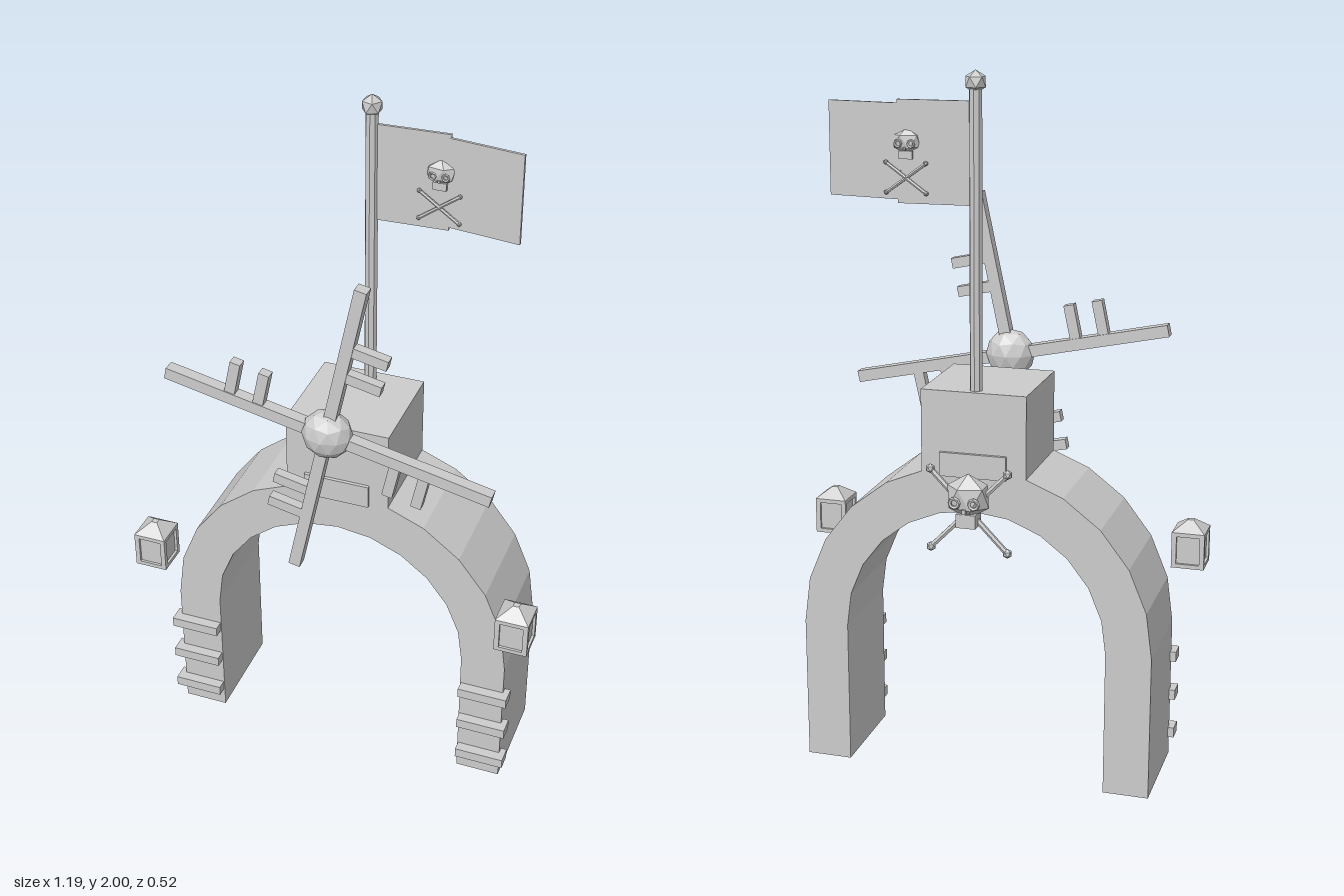
import * as THREE from 'three';

const stone = new THREE.MeshStandardMaterial({ color: 0xcccccc, flatShading: true });
stone.name = 'pale grey';

function add(parent, name, geometry, x = 0, y = 0, z = 0) {
  const mesh = new THREE.Mesh(geometry, stone);
  mesh.name = name;
  mesh.position.set(x, y, z);
  parent.add(mesh);
  return mesh;
}

function addGroup(parent, name, x, y, z) {
  const g = new THREE.Group();
  g.name = name;
  g.position.set(x, y, z);
  parent.add(g);
  return g;
}

const box = (w, h, d) => new THREE.BoxGeometry(w, h, d);

// Low-poly ball with a corner pointing straight up
const ball = (r, detail = 0) => new THREE.IcosahedronGeometry(r, detail).rotateZ(-Math.atan(2 / (1 + Math.sqrt(5))));

// Horseshoe arch, extruded front to back
function archGeometry() {
  const outer = 0.51, inner = 0.38, spring = 0.42, steps = 12;
  const s = new THREE.Shape();
  s.moveTo(outer, 0);
  for (let i = 0; i <= steps; i++) {
    const a = (i / steps) * Math.PI;
    s.lineTo(outer * Math.cos(a), spring + outer * Math.sin(a));
  }
  s.lineTo(-outer, 0);
  s.lineTo(-inner, 0);
  for (let i = steps; i >= 0; i--) {
    const a = (i / steps) * Math.PI;
    s.lineTo(inner * Math.cos(a), spring + inner * Math.sin(a));
  }
  s.lineTo(inner, 0);
  return new THREE.ExtrudeGeometry(s, { depth: 0.3, bevelEnabled: false }).translate(0, 0, -0.165);
}

// Two crossed bones with knobbed ends, in the xy plane
function crossedBones(parent, halfW, halfH, r, knob, y, z) {
  const g = addGroup(parent, 'crossedBones', 0, y, z);
  const length = 2 * Math.hypot(halfW, halfH);
  for (const s of [-1, 1]) {
    add(g, 'bone', new THREE.CylinderGeometry(r, r, length, 6)).rotation.z = -s * Math.atan2(halfW, halfH);
    for (const e of [-1, 1]) add(g, 'boneKnob', ball(knob), s * e * halfW, e * halfH, 0);
  }
}

// Skull with eye rings on the given sides (+1 front, -1 back)
function skull(parent, w, h, d, sides) {
  const g = addGroup(parent, 'skull', 0, 0, 0);
  add(g, 'cranium', ball(1)).scale.set(w, h, d);
  add(g, 'jaw', box(w * 0.85, h * 0.6, d * 1.1), 0, -h * 1.0, 0);
  for (const side of sides) {
    for (const s of [-1, 1]) {
      add(g, 'eyeRing', new THREE.TorusGeometry(w * 0.2, w * 0.08, 5, 8), s * w * 0.42, -h * 0.15, side * d * 0.8);
    }
    add(g, 'nose', box(w * 0.15, h * 0.2, d * 0.3), 0, -h * 0.5, side * d * 0.75);
  }
  return g;
}

// Flag panel running between two points seen from above
function flagPanel(parent, x0, z0, x1, z1, y, h) {
  const panel = add(parent, 'flagPanel', box(Math.hypot(x1 - x0, z1 - z0), h, 0.008), (x0 + x1) / 2, y, (z0 + z1) / 2);
  panel.rotation.y = -Math.atan2(z1 - z0, x1 - x0);
}

export function createModel() {
  const model = new THREE.Group();
  model.name = 'windmillArch';

  // Arch, block on its crown and the name plate through it
  add(model, 'arch', archGeometry());
  add(model, 'crownBlock', box(0.3, 0.3, 0.3), 0, 0.99, -0.015);
  add(model, 'plate', box(0.19, 0.068, 0.32), 0, 0.933, -0.015);

  for (const s of [-1, 1]) {
    // Bands on the legs
    for (const y of [0.075, 0.195, 0.315]) add(model, 'legBand', box(0.145, 0.03, 0.05), s * 0.455, y, 0.14);

    // Lantern: recessed core inside a frame, with a blunt pyramid roof
    const lantern = addGroup(model, 'lantern', s * 0.547, 0.58, 0.19);
    add(lantern, 'lanternCore', box(0.08, 0.1, 0.08), 0, 0.055, 0);
    add(lantern, 'lanternBase', box(0.095, 0.012, 0.095), 0, 0.006, 0);
    add(lantern, 'lanternRim', box(0.095, 0.012, 0.095), 0, 0.1, 0);
    for (const px of [-1, 1]) for (const pz of [-1, 1]) {
      add(lantern, 'lanternPost', box(0.014, 0.1, 0.014), px * 0.0405, 0.053, pz * 0.0405);
    }
    const roof = new THREE.CylinderGeometry(0.012, 0.0672, 0.03, 4).rotateY(Math.PI / 4);
    add(lantern, 'lanternRoof', roof, 0, 0.121, 0);
  }

  // Windmill: hub and four sails, each with two rungs
  const windmill = addGroup(model, 'windmill', 0, 1.165, 0.205);
  add(windmill, 'hub', ball(0.072, 1)).scale.z = 0.78;
  for (let i = 0; i < 4; i++) {
    const sail = addGroup(windmill, 'sail', 0, 0, 0);
    sail.rotation.z = -0.21 + (i * Math.PI) / 2;
    add(sail, 'sailBar', box(0.034, 0.475, 0.035), 0, 0.2375, 0);
    for (const y of [0.203, 0.287]) add(sail, 'sailRung', box(0.115, 0.03, 0.029), 0.0575, y, 0);
  }

  // Flagpole with knob
  add(model, 'flagpole', new THREE.CylinderGeometry(0.018, 0.018, 0.85, 8), 0, 1.545, -0.135);
  add(model, 'poleKnob', ball(0.031), 0, 1.969, -0.135);

  // Flag in two panels with an emblem on both faces
  flagPanel(model, 0.01, -0.135, 0.215, -0.142, 1.782, 0.275);
  flagPanel(model, 0.205, -0.142, 0.418, -0.112, 1.782, 0.255);
  const emblem = addGroup(model, 'flagEmblem', 0.19, 1.81, -0.139);
  skull(emblem, 0.044, 0.036, 0.025, [-1, 1]);
  for (const s of [-1, 1]) crossedBones(emblem, 0.056, 0.04, 0.005, 0.007, -0.097, s * 0.01);

  // Skull and crossed bones on the back of the crown
  const trophy = addGroup(model, 'backTrophy', 0, 0.86, -0.213);
  skull(trophy, 0.066, 0.065, 0.05, [-1]);
  crossedBones(trophy, 0.11, 0.113, 0.008, 0.014, -0.044, 0.006);

  return model;
}
